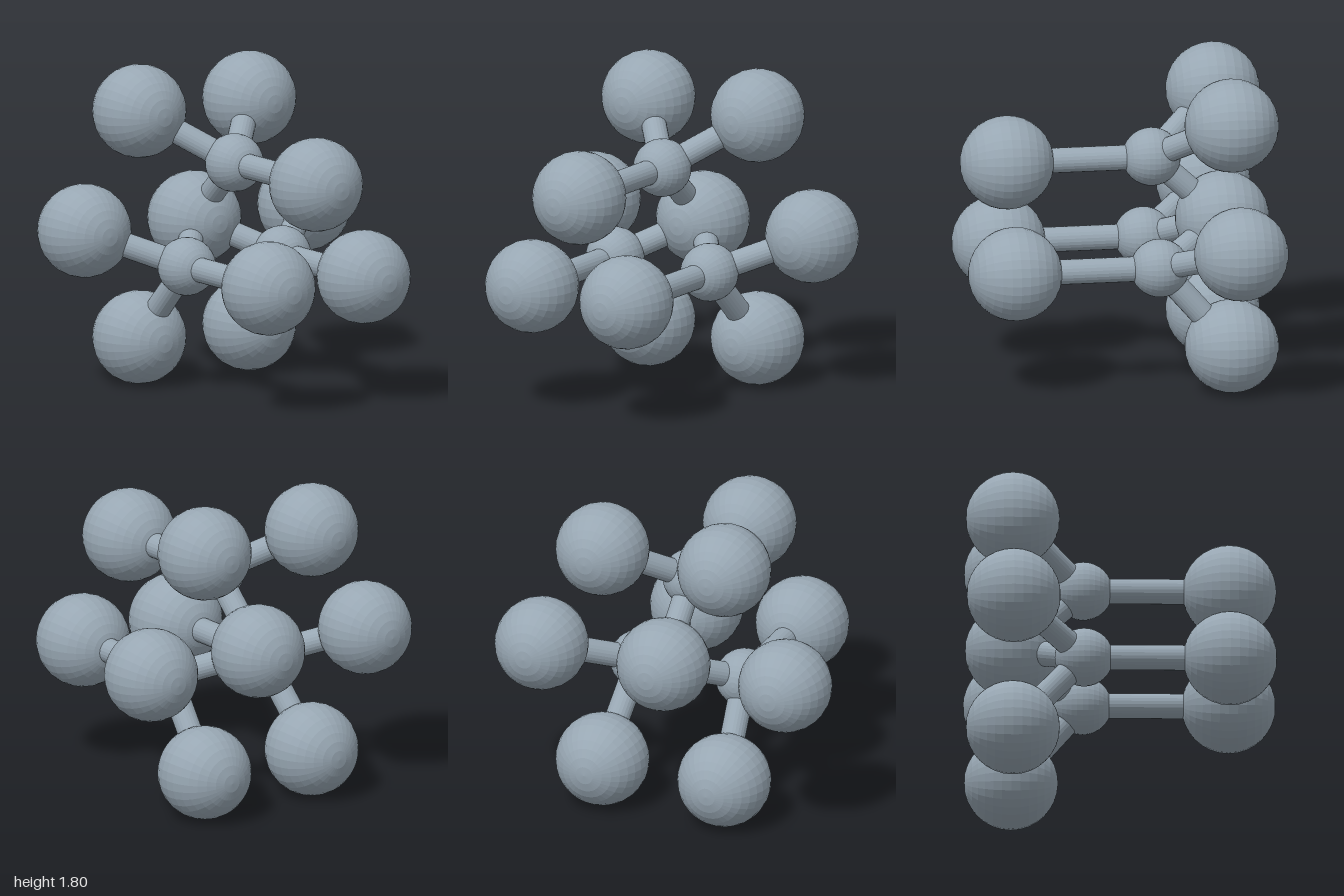
import * as THREE from 'three';

export function createModel() {
  const model = new THREE.Group();
  model.name = 'ballAndRodLattice';
  const blueGrey = new THREE.MeshStandardMaterial({ color: 0x98a7b3, flatShading: true });
  blueGrey.name = 'blueGrey';

  const R = 0.737, midY = 0.9, backZ = -0.604, hubZ = -0.207, frontZ = 0.604;
  const polar = (r, deg, z) => new THREE.Vector3(
    r * Math.cos(THREE.MathUtils.degToRad(deg)),
    midY + r * Math.sin(THREE.MathUtils.degToRad(deg)), z);

  // Spheres have their poles along z
  const ballGeo = new THREE.SphereGeometry(0.262, 32, 16).rotateX(Math.PI / 2);
  const hubGeo = new THREE.SphereGeometry(0.163, 32, 16).rotateX(Math.PI / 2);

  function addSphere(name, geometry, position) {
    const mesh = new THREE.Mesh(geometry, blueGrey);
    mesh.name = name;
    mesh.position.copy(position);
    model.add(mesh);
  }

  // Rod running between two sphere centres
  function addRod(name, a, b) {
    const dir = b.clone().sub(a);
    const mesh = new THREE.Mesh(new THREE.CylinderGeometry(0.07, 0.07, dir.length(), 24), blueGrey);
    mesh.name = name;
    mesh.position.copy(a).lerp(b, 0.5);
    mesh.quaternion.setFromUnitVectors(new THREE.Vector3(0, 1, 0), dir.normalize());
    model.add(mesh);
  }

  // Back layer: a centre ball inside a hexagon of balls
  const centre = new THREE.Vector3(0, midY, backZ);
  addSphere('backCentreBall', ballGeo, centre);
  for (let i = 0; i < 6; i++) addSphere('backBall', ballGeo, polar(R, i * 60, backZ));

  // Three hubs, each joined to one front ball and three back balls
  for (const angle of [90, 210, 330]) {
    const hub = polar(R / 2, angle, hubZ);
    const front = polar(R / 2, angle, frontZ);
    addSphere('hub', hubGeo, hub);
    addSphere('frontBall', ballGeo, front);
    addRod('frontRod', hub, front);
    addRod('centreRod', hub, centre);
    for (const side of [-30, 30]) addRod('backRod', hub, polar(R, angle + side, backZ));
  }
  return model;
}
